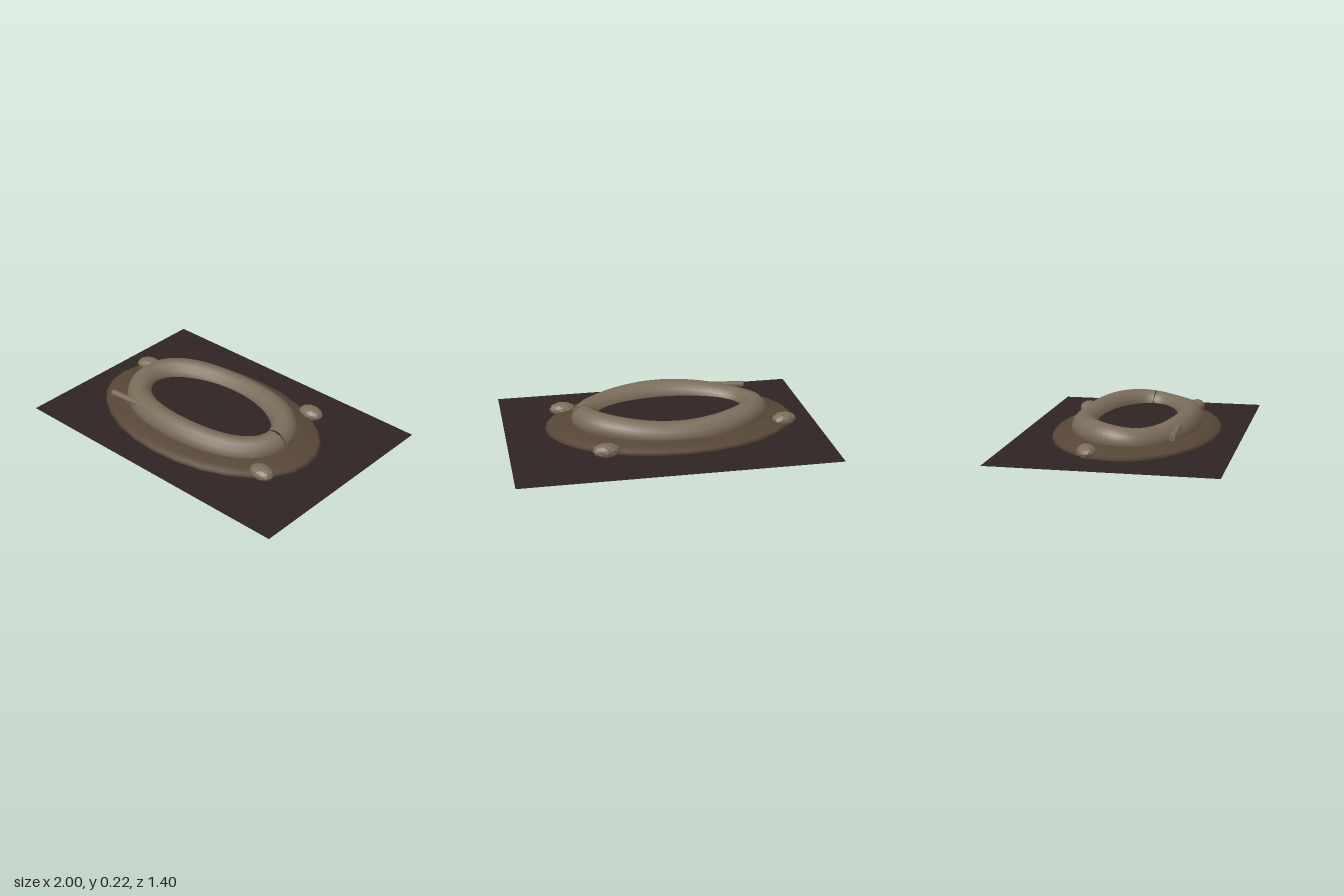
import * as THREE from 'three';

const CX = -0.055, CZ = 0.04; // shared centre of mound and ring

export function createModel() {
  const mat = (name, color, opts = {}) => {
    const m = new THREE.MeshStandardMaterial({ color, ...opts });
    m.name = name;
    return m;
  };
  const dark = mat('dark ground', 0x2e2424, { side: THREE.DoubleSide });
  const soil = mat('brown soil', 0x564636);
  const clay = mat('pale clay', 0x7b6c5a, { side: THREE.DoubleSide });
  const stone = mat('stone', 0x7b6c5a, { flatShading: true });

  const model = new THREE.Group();
  model.name = 'ringNest';
  const add = (name, geometry, material, x, y, z) => {
    const mesh = new THREE.Mesh(geometry, material);
    mesh.name = name;
    mesh.position.set(x, y, z);
    model.add(mesh);
    return mesh;
  };

  // Flat ground sheet cutting through the lower part of the mound
  add('ground', new THREE.PlaneGeometry(2, 1.4).rotateX(-Math.PI / 2), dark, 0, 0.03, 0);

  // Low, flattened mound
  add('mound', new THREE.SphereGeometry(1, 28, 14).scale(0.805, 0.066, 0.525), soil, CX, 0.066, CZ);

  // Dark floor inside the ring
  add('ringFloor', new THREE.CircleGeometry(1, 48).rotateX(-Math.PI / 2).scale(0.54, 1, 0.31), dark, CX, 0.137, CZ);

  // Oval ring with three gentle crests and a narrow crack at its left end
  class RingCurve extends THREE.Curve {
    getPoint(t, target = new THREE.Vector3()) {
      const a = 0.03 + t * (Math.PI * 2 - 0.035);
      return target.set(0.552 * Math.cos(a), -0.013 * Math.sin(3 * a), 0.322 * Math.sin(a));
    }
  }
  add('ring', new THREE.TubeGeometry(new RingCurve(), 96, 0.083, 12, false), clay, CX, 0.126, CZ);

  // Stub sticking out of the ring at the front
  const stub = add('stub', new THREE.CylinderGeometry(0.018, 0.02, 0.3, 10).rotateZ(-Math.PI / 2), clay, -0.47, 0.163, 0.356);
  stub.rotation.z = 0.06;

  // Flattened faceted stones around the rim
  [[-0.77, -0.125, 0.3], [0.42, -0.395, 0], [0.605, 0.305, -0.1]].forEach(([x, z, turn], i) => {
    const rock = add('stone' + (i + 1), new THREE.IcosahedronGeometry(1, 1).scale(0.086, 0.044, 0.061), stone, x, 0.09, z);
    rock.rotation.y = turn;
  });

  return model;
}
